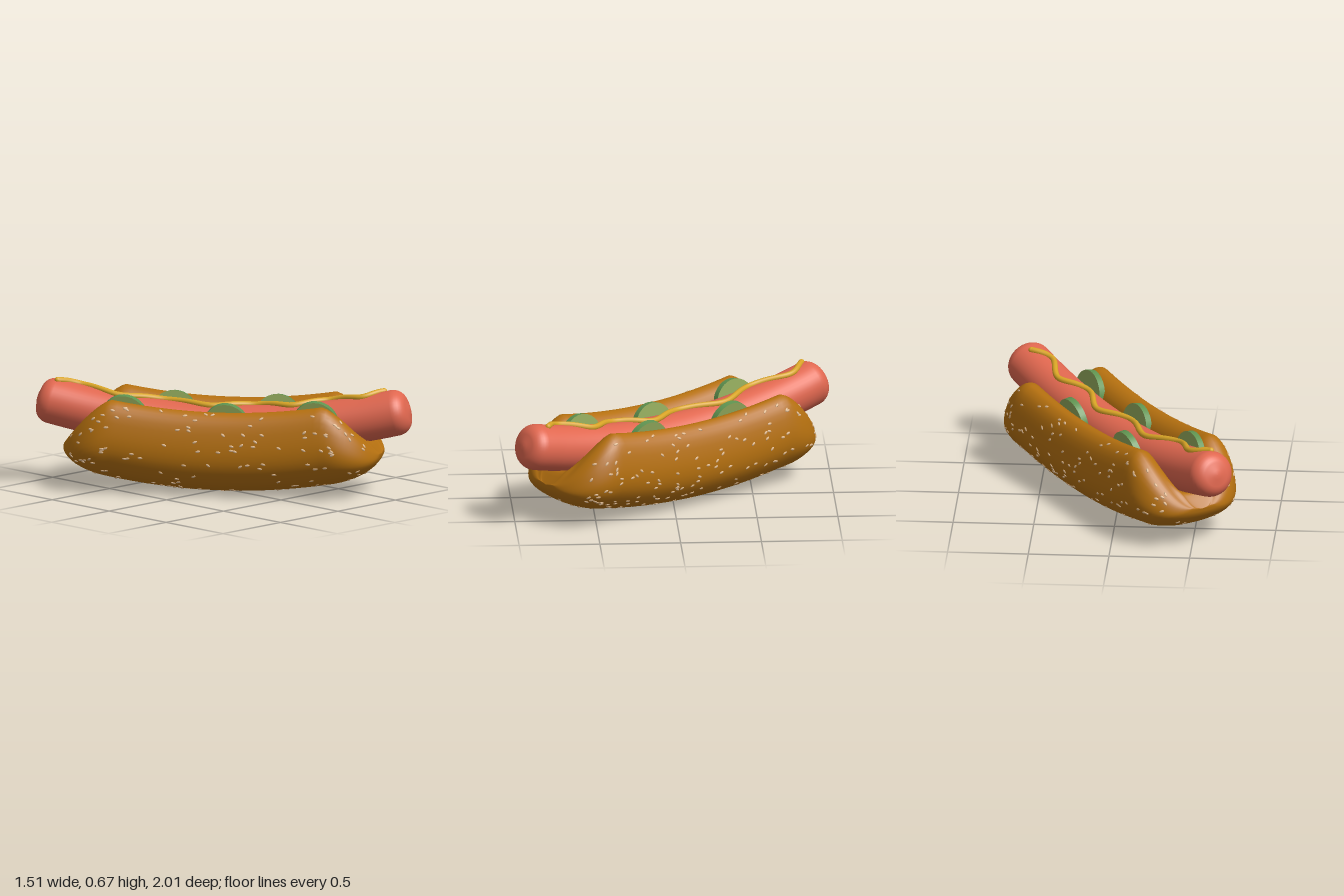
import * as THREE from 'three';
import { mergeGeometries } from 'three/addons/utils/BufferGeometryUtils.js';

const mat = (name, color) => {
  const m = new THREE.MeshStandardMaterial({ color });
  m.name = name;
  return m;
};
const lerp = THREE.MathUtils.lerp;

// Small seeded random generator
let seed = 7;
const rand = () => (seed = (seed * 16807) % 2147483647) / 2147483647;

// Closed skin over a list of rings that run along +z, each counter-clockwise seen from +z
function loft(rings) {
  const n = rings[0].length, index = [];
  for (let i = 0; i < rings.length - 1; i++) {
    for (let j = 0; j < n; j++) {
      const a = i * n + j, b = i * n + (j + 1) % n, c = a + n, d = b + n;
      index.push(a, b, c, b, d, c);
    }
  }
  const geo = new THREE.BufferGeometry().setFromPoints(rings.flat());
  geo.setIndex(index);
  geo.computeVertexNormals();
  return geo;
}

// Height of the sausage axis: the ends bend upward
const R = 0.143;
const axisY = (s) => 0.385 + 0.115 * s * s;

// Bun cross-section at distance s along its length
function bunSection(s) {
  const a = Math.min(Math.abs(s), 0.99);
  const k = Math.max(0, (a - 0.7) / 0.29);
  const f = Math.sqrt(Math.max(0, 1 - k * k));
  const w = 0.08 + 0.285 * f;
  const bottom = 0.006 + 0.13 * a * a + 0.12 * (1 - f);
  const e = Math.max(0, (a - 0.66) / 0.33);
  const top = 0.53 + 0.13 * Math.min(a, 0.66) ** 2 - 0.317 * Math.pow(e, 1.4);
  const groove = Math.min(axisY(a) - 0.135, top - 0.01);
  const up = (v) => lerp(bottom, top, v);
  const inner = (v) => lerp(groove, top, v);
  const half = [
    [0, bottom], [0.35, up(0.02)], [0.7, up(0.11)], [0.93, up(0.29)], [1, up(0.46)],
    [0.98, up(0.68)], [0.88, up(0.91)], [0.72, top], [0.55, up(0.96)],
    [0.43, inner(0.72)], [0.36, inner(0.35)], [0.22, inner(0.08)], [0, groove],
  ];
  const mirrored = half.slice(1, -1).reverse().map(([x, y]) => [-x, y]);
  const pts = [...half, ...mirrored].map(([x, y]) => new THREE.Vector3(x * w, y, s));
  return new THREE.CatmullRomCurve3(pts, true);
}

function bunGeometry() {
  const stations = [];
  for (let i = 0; i <= 16; i++) stations.push(i / 16 * 0.66);
  for (let i = 1; i <= 16; i++) stations.push(0.66 + 0.33 * Math.sin(i / 16 * Math.PI / 2));
  const all = [...stations.slice(1).reverse().map((s) => -s), ...stations];
  const rings = all.map((s) => bunSection(s).getPoints(72).slice(0, 72));
  const tip = (s) => Array.from({ length: 72 }, () => new THREE.Vector3(0, 0.26, s));
  return loft([tip(-0.992), ...rings, tip(0.992)]);
}

function sausageGeometry() {
  // Radius and position along the axis: straight body with rounded ends
  const body = [], corner = 0.085, start = 1.075;
  for (let i = 0; i <= 30; i++) body.push([lerp(-start, start, i / 30), R]);
  const cap = [];
  for (let i = 1; i <= 8; i++) {
    const q = i / 8 * Math.PI / 2;
    cap.push([start + corner * Math.sin(q), R - corner + corner * Math.cos(q)]);
  }
  cap.push([start + corner + 0.008, 0.03], [start + corner + 0.009, 0]);
  const profile = [...cap.map(([s, r]) => [-s, r]).reverse(), ...body, ...cap];
  return loft(profile.map(([s, r]) => {
    const tilt = Math.atan(0.23 * s);
    return Array.from({ length: 40 }, (_, j) => {
      const q = j / 40 * Math.PI * 2, h = r * Math.sin(q);
      return new THREE.Vector3(r * Math.cos(q), axisY(s) + h * Math.cos(tilt), s - h * Math.sin(tilt));
    });
  }));
}

// Sesame seeds scattered over the outer skin of the bun
function seedGeometry(count) {
  const parts = [], m = new THREE.Matrix4();
  for (let i = 0; i < count; i++) {
    const s = lerp(-0.93, 0.93, rand());
    const u = (lerp(-6.7, 6.7, rand()) / 24 + 1) % 1;
    const p = bunSection(s).getPoint(u);
    const across = bunSection(s).getPoint((u + 0.004) % 1).sub(p);
    const along = bunSection(s + 0.004).getPoint(u).sub(p).normalize();
    const normal = across.cross(along).normalize();
    along.applyAxisAngle(normal, (rand() - 0.5) * 1.4);
    m.makeBasis(new THREE.Vector3().crossVectors(normal, along), normal, along).setPosition(p);
    parts.push(new THREE.SphereGeometry(1, 8, 6).scale(0.008, 0.005, 0.016).applyMatrix4(m));
  }
  return mergeGeometries(parts);
}

export function createModel() {
  const bunMat = mat('toasted bun', 0xb5700f);
  const sausageMat = mat('sausage pink', 0xe0674f);
  const mustardMat = mat('mustard yellow', 0xd9a526);
  const rimMat = mat('pickle skin green', 0x5f9350);
  const fleshMat = mat('pickle flesh green', 0x92aa5c);
  const sesameMat = mat('sesame', 0xdcb58a);

  const model = new THREE.Group();
  model.name = 'hotDog';
  const food = new THREE.Group();
  food.name = 'diagonalAssembly';
  food.rotation.y = 0.611;
  model.add(food);
  const add = (name, geo, material) => {
    const mesh = new THREE.Mesh(geo, material);
    mesh.name = name;
    food.add(mesh);
    return mesh;
  };

  add('bun', bunGeometry(), bunMat);
  add('sesameSeeds', seedGeometry(300), sesameMat);
  add('sausage', sausageGeometry(), sausageMat);

  // Mustard squiggle lying on top of the sausage, as [along, sideways]
  const squiggle = [
    [-1.04, -0.03], [-0.91, 0.038], [-0.65, -0.04], [-0.38, 0.045], [-0.07, -0.036],
    [0.19, 0.049], [0.44, -0.04], [0.66, 0.046], [0.88, -0.038], [1.0, 0.035],
  ];
  const flat = new THREE.CatmullRomCurve3(squiggle.map(([s, t]) => new THREE.Vector3(t, 0, s)));
  const onTop = flat.getPoints(70).map((p) =>
    p.setY(axisY(p.z) + Math.sqrt(R * R - p.x * p.x) + 0.006));
  const path = new THREE.CatmullRomCurve3(onTop);
  add('mustard', new THREE.TubeGeometry(path, 180, 0.019, 10), mustardMat);
  for (const end of [onTop[0], onTop[onTop.length - 1]]) {
    add('mustardEnd', new THREE.SphereGeometry(0.019, 12, 8), mustardMat).position.copy(end);
  }

  // Pickle slices tucked between sausage and bun, as [along, side]
  for (const [s, side] of [[-0.6, -1], [-0.34, 1], [0.04, -1], [0.31, 1], [0.6, -1]]) {
    const slice = add('pickleSlice', new THREE.CylinderGeometry(0.145, 0.145, 0.04, 32), [rimMat, fleshMat, fleshMat]);
    slice.position.set(side * 0.145, 0.425 + 0.09 * s * s, s);
    slice.rotation.z = Math.PI / 2 - side * 0.14;
  }
  return model;
}
